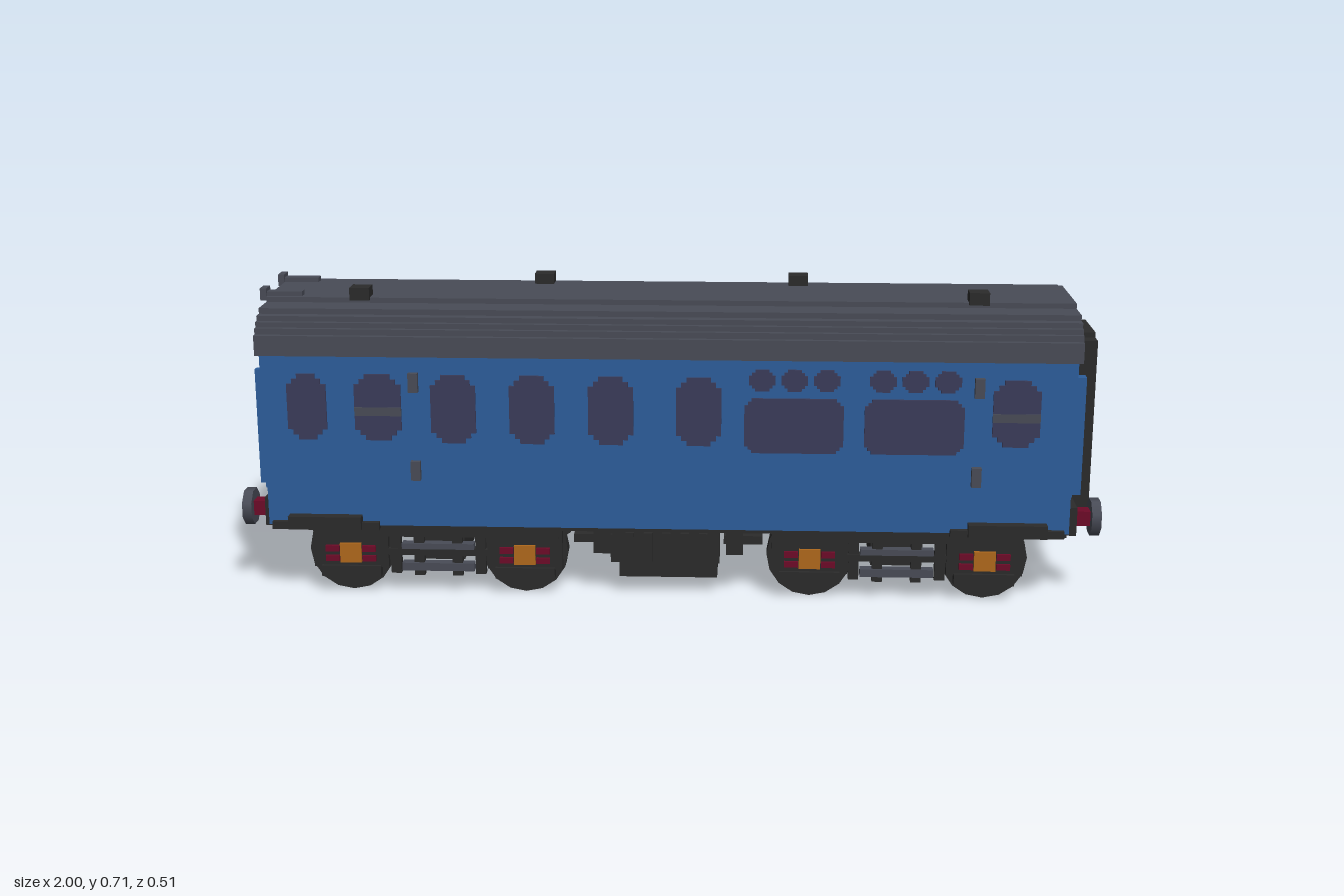
import * as THREE from 'three';

const mat = (name, color) => Object.assign(new THREE.MeshStandardMaterial({ color }), { name });

export function createModel() {
  const root = new THREE.Group();
  root.name = 'railwayCoach';
  const blue = mat('body blue', 0x2d5e9c);
  const grey = mat('dark grey', 0x494c57);
  const black = mat('black', 0x2b2b2b);
  const glass = mat('window tint', 0x3b3c5a);
  const orange = mat('orange', 0xb0691c);
  const red = mat('dark red', 0x6e0b28);
  const yellow = mat('yellow', 0xb08c10);

  const add = (name, geo, material, parent = root) => {
    const m = new THREE.Mesh(geo, material);
    m.name = name;
    parent.add(m);
    return m;
  };
  // box given by its limits on each axis
  const box = (name, material, x0, x1, y0, y1, z0, z1, parent) => {
    const g = new THREE.BoxGeometry(x1 - x0, y1 - y0, Math.abs(z1 - z0));
    g.translate((x0 + x1) / 2, (y0 + y1) / 2, (z0 + z1) / 2);
    return add(name, g, material, parent);
  };
  // cross-section in (z, y), extruded along x
  const alongX = (name, material, pts, x0, x1) => {
    const shape = new THREE.Shape(pts.map(p => new THREE.Vector2(p[0], p[1])));
    const g = new THREE.ExtrudeGeometry(shape, { depth: x1 - x0, bevelEnabled: false });
    g.rotateY(Math.PI / 2).translate(x0, 0, 0);
    return add(name, g, material);
  };
  const mirror = pts => pts.map(([z, y]) => [-z, y]).reverse();
  // thin plate with stepped corners; centred, facing +z
  const plateGeo = (w, h, n) => {
    const a = w / 2, b = h / 2, m = n / 2;
    const q = [[a, b - n], [a - m, b - n], [a - m, b - m], [a - n, b - m], [a - n, b]];
    const flipX = p => p.map(([x, y]) => [-x, y]).reverse();
    const top = [...q, ...flipX(q)];
    const pts = [...top, ...top.map(([x, y]) => [x, -y]).reverse()];
    const shape = new THREE.Shape(pts.map(p => new THREE.Vector2(p[0], p[1])));
    return new THREE.ExtrudeGeometry(shape, { depth: 0.006, bevelEnabled: false });
  };
  const sidePlate = (name, material, s, x0, x1, y0, y1, n = 0.024) => {
    const m = add(name, plateGeo(x1 - x0, y1 - y0, n), material);
    m.position.set((x0 + x1) / 2, (y0 + y1) / 2, s * 0.242);
    if (s < 0) m.rotation.y = Math.PI;
  };
  const endPlate = (name, material, s, x, z, y0, y1, w, n = 0.02) => {
    const m = add(name, plateGeo(w, y1 - y0, n), material);
    m.position.set(x, (y0 + y1) / 2, z);
    m.rotation.y = s * Math.PI / 2;
  };

  // Body shell and stepped roof
  const arch = [[0.243, 0.575], [0.232, 0.575], [0.232, 0.612], [0.22, 0.612], [0.22, 0.622],
    [0.195, 0.622], [0.195, 0.63], [0.158, 0.63], [0.158, 0.637]];
  const low = [[0.232, 0.17], [0.232, 0.262], [0.243, 0.262]];
  alongX('body', blue, [...low, ...arch, ...mirror(arch), ...mirror(low)], -0.93, 0.922);
  const roof = [[0.245, 0.575], [0.245, 0.622], [0.232, 0.622], [0.232, 0.636], [0.22, 0.636],
    [0.22, 0.648], [0.207, 0.648], [0.207, 0.66], [0.183, 0.66], [0.183, 0.673], [0.11, 0.673], [0.11, 0.685]];
  const inner = arch.slice(1);
  alongX('roof', grey, [...roof, ...mirror(roof), ...inner.map(([z, y]) => [-z, y]), ...[...inner].reverse()], -0.94, 0.932);

  // Roof vents and horns
  for (const [x, z] of [[-0.72, 0.095], [-0.31, -0.1], [0.3, -0.1], [0.71, 0.095]])
    box('roofVent', black, x - 0.023, x + 0.023, 0.68, 0.709, z - 0.023, z + 0.023);
  for (const s of [-1, 1]) {
    box('horn', grey, -0.945, -0.858, 0.68, 0.696, s * 0.075, s * 0.1);
    box('hornMouth', grey, -0.955, -0.94, 0.676, 0.704, s * 0.068, s * 0.107);
  }

  // Side windows, grab handles and steps
  const splitWindow = (s, x0, x1) => {
    sidePlate('window', glass, s, x0, x1, 0.38, 0.535);
    box('windowBar', grey, x0, x1, 0.438, 0.458, s * 0.242, s * 0.25);
  };
  for (const s of [1, -1]) {
    sidePlate('window', glass, s, -0.87, -0.78, 0.38, 0.535);
    splitWindow(s, -0.715, -0.608);
    splitWindow(s, 0.735, 0.842);
    const plain = s > 0 ? [-0.54, -0.36, -0.18, 0.02] : [-0.36, 0.02];
    for (const x of plain) sidePlate('window', glass, s, x, x + 0.103, 0.375, 0.535);
    for (const x of [0.175, 0.447]) {
      sidePlate('largeWindow', glass, s, x, x + 0.225, 0.36, 0.488, 0.016);
      for (let i = 0; i < 3; i++)
        sidePlate('topLight', glass, s, x + 0.01 + i * 0.073, x + 0.07 + i * 0.073, 0.505, 0.555, 0.014);
    }
    for (const x of [-0.578, 0.703]) for (const y of [0.495, 0.287])
      box('grabHandle', grey, x - 0.011, x + 0.011, y, y + 0.045, s * 0.24, s * 0.257);
    for (const [x0, x1] of [[-0.88, -0.71], [0.69, 0.87]]) {
      box('doorStep', black, x0, x1, 0.165, 0.196, s * 0.225, s * 0.257);
      box('stepBracket', black, x0 - 0.04, x1 + 0.04, 0.162, 0.18, s * 0.225, s * 0.245);
    }
  }

  // Louvres on the back side
  const louvres = (x0, count, rows) => {
    for (const y of rows) for (let i = 0; i < count; i++)
      sidePlate('louvre', black, -1, x0 + i * 0.029, x0 + i * 0.029 + 0.021, y - 0.027, y + 0.027, 0.008);
  };
  louvres(-0.195, 5, [0.53, 0.455, 0.38, 0.31]);
  louvres(-0.445, 3, [0.515, 0.41]);
  louvres(-0.545, 3, [0.515, 0.41]);

  // Gangway end
  const gang = new THREE.Group();
  gang.name = 'gangway';
  root.add(gang);
  for (const s of [-1, 1]) {
    box('gangwaySide', black, 0.92, 0.985, 0.185, 0.598, s * 0.073, s * 0.11, gang);
    box('endRail', blue, 0.92, 0.945, 0.262, 0.538, s * 0.197, s * 0.222);
    endPlate('endLight', black, 1, 0.92, s * 0.153, 0.44, 0.49, 0.036, 0.01);
  }
  box('gangwayTop', black, 0.92, 0.985, 0.55, 0.61, -0.073, 0.073, gang);
  box('gangwaySill', black, 0.92, 0.985, 0.185, 0.245, -0.073, 0.073, gang);
  box('gangwayDoor', black, 0.92, 0.96, 0.24, 0.555, -0.073, 0.073, gang);
  box('equipmentBox', grey, 0.92, 0.94, 0.293, 0.367, -0.168, -0.121);
  box('equipmentTab', grey, 0.92, 0.932, 0.367, 0.391, -0.157, -0.133);

  // Cab end
  for (const s of [-1, 1]) endPlate('cabWindow', glass, -1, -0.928, s * 0.157, 0.42, 0.57, 0.095);
  endPlate('cabDoorWindow', glass, -1, -0.928, 0, 0.42, 0.57, 0.11);
  const warn = [[0.165, 0.24], [0.165, 0.37], [0.135, 0.37], [0.135, 0.39], [0.1, 0.39], [0.1, 0.405]];
  alongX('warningPanel', yellow, [...warn, ...mirror(warn)], -0.937, -0.929);
  for (const s of [-1, 1]) {
    box('cabRail', blue, -0.945, -0.925, 0.27, 0.54, s * 0.213, s * 0.23);
    box('jumperBox', black, -0.952, -0.925, 0.265, 0.31, s * 0.175, s * 0.2);
  }

  // Floor, buffer beams and buffers
  box('floor', black, -0.922, 0.918, 0.16, 0.178, -0.225, 0.225);
  for (const e of [-1, 1]) for (const s of [-1, 1]) {
    const b = new THREE.Group();
    b.name = 'buffer';
    b.scale.x = e;
    root.add(b);
    box('bufferBeam', black, 0.9, 0.94, 0.165, 0.232, s * 0.11, s * 0.225, b);
    box('bufferShank', red, 0.935, 0.98, 0.175, 0.21, s * 0.147, s * 0.183, b);
    const disc = add('bufferHead', new THREE.CylinderGeometry(0.044, 0.044, 0.022, 8, 1).toNonIndexed(), grey, b);
    disc.geometry.rotateY(Math.PI / 8).rotateZ(Math.PI / 2);
    disc.position.set(0.989, 0.193, s * 0.165);
  }

  // Bogies
  for (const [xa, xb] of [[-0.745, -0.335], [0.33, 0.735]]) {
    const bogie = new THREE.Group();
    bogie.name = 'bogie';
    root.add(bogie);
    const c = (xa + xb) / 2;
    box('bolster', black, c - 0.06, c + 0.06, 0.075, 0.135, -0.19, 0.19, bogie);
    for (const x of [xa, xb]) {
      box('axleBeam', black, x - 0.03, x + 0.03, 0.075, 0.135, -0.165, 0.165, bogie);
      for (const s of [-1, 1]) {
        const wheel = add('wheel', new THREE.CylinderGeometry(0.1, 0.1, 0.036, 16), black, bogie);
        wheel.rotation.x = Math.PI / 2;
        wheel.position.set(x, 0.1, s * 0.177);
        box('axleGuard', black, x - 0.088, x + 0.088, 0.06, 0.162, s * 0.19, s * 0.212, bogie);
        box('axleGuardFoot', black, x - 0.07, x + 0.07, 0.038, 0.065, s * 0.19, s * 0.22, bogie);
        box('axleBox', orange, x - 0.025, x + 0.025, 0.073, 0.12, s * 0.2, s * 0.22, bogie);
        for (const d of [-1, 1]) for (const y of [0.076, 0.1])
          box('axleSpring', red, x + d * 0.043 - 0.016, x + d * 0.043 + 0.016, y, y + 0.014, s * 0.2, s * 0.22, bogie);
      }
    }
    for (const s of [-1, 1]) {
      box('topFrame', black, xa - 0.08, xb + 0.08, 0.137, 0.162, s * 0.1, s * 0.215, bogie);
      box('sideBeam', black, c - 0.12, c + 0.12, 0.09, 0.106, s * 0.19, s * 0.21, bogie);
      box('upperSpring', grey, c - 0.085, c + 0.085, 0.106, 0.12, s * 0.19, s * 0.213, bogie);
      box('lowerSpring', grey, c - 0.085, c + 0.085, 0.053, 0.072, s * 0.19, s * 0.213, bogie);
      for (const d of [-1, 1]) {
        box('springHanger', black, c + d * 0.1 - 0.012, c + d * 0.1 + 0.012, 0.045, 0.14, s * 0.19, s * 0.208, bogie);
        box('springLink', black, c + d * 0.045 - 0.012, c + d * 0.045 + 0.012, 0.04, 0.14, s * 0.19, s * 0.208, bogie);
      }
    }
  }

  // Underfloor equipment
  box('equipmentTray', black, -0.13, 0.115, 0.075, 0.135, -0.11, 0.11);
  for (const s of [-1, 1]) {
    box('underfloorCase', black, -0.135, 0.12, 0.075, 0.162, s * 0.1, s * 0.195);
    box('underfloorTank', black, -0.115, 0.115, 0.04, 0.08, s * 0.1, s * 0.195);
    for (let i = 0; i < 5; i++)
      box('caseRib', black, -0.1 + i * 0.043, -0.08 + i * 0.043, 0.08, 0.15, s * 0.19, s * 0.205);
    for (const d of [-1, 1]) {
      box('pipeBracket', black, d * 0.175 - 0.045, d * 0.175 + 0.045, 0.125, 0.145, s * 0.15, s * 0.2);
      box('pipeValve', black, d * 0.155 - 0.02, d * 0.155 + 0.02, 0.098, 0.162, s * 0.15, s * 0.2);
    }
  }
  return root;
}
